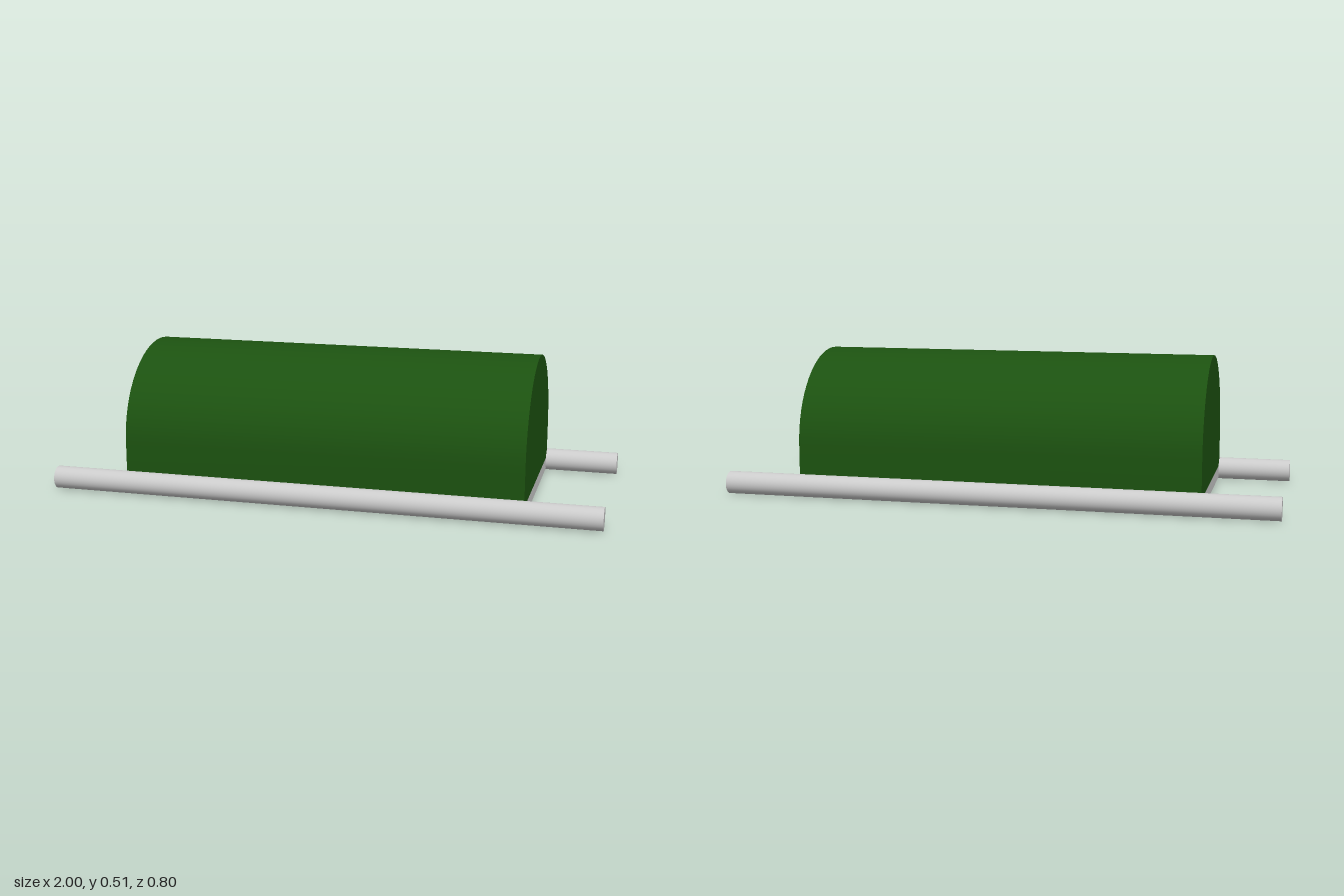
import * as THREE from 'three';
import { toCreasedNormals } from 'three/addons/utils/BufferGeometryUtils.js';

export function createModel() {
  const model = new THREE.Group();
  const grey = new THREE.MeshStandardMaterial({ color: 0xcccccc });
  const green = new THREE.MeshStandardMaterial({ color: 0x1c5210 });
  const length = 1.46;

  const add = (name, geometry, material) => {
    const mesh = new THREE.Mesh(geometry, material);
    mesh.name = name;
    model.add(mesh);
    return mesh;
  };

  // Arched cover: straight walls below a rounded roof, extruded along x
  const halfWidth = 0.347, base = 0.055, spring = 0.19, top = 0.515;
  const profile = new THREE.Shape();
  profile.moveTo(-halfWidth, base);
  profile.lineTo(halfWidth, base);
  profile.lineTo(halfWidth, spring);
  profile.absellipse(0, spring, halfWidth, top - spring, 0, Math.PI, false, 0);
  profile.closePath();
  const cover = new THREE.ExtrudeGeometry(profile, { depth: length, bevelEnabled: false, curveSegments: 16 });
  cover.translate(0, 0, -length / 2);
  cover.rotateY(Math.PI / 2);
  add('cover', toCreasedNormals(cover, Math.PI / 6), green);

  // Flat bed between the poles
  add('bed', new THREE.BoxGeometry(length, 0.045, 0.7), grey).position.y = 0.0325;

  // Carrying poles
  const radius = 0.041;
  for (const side of [1, -1]) {
    const pole = new THREE.CylinderGeometry(radius, radius, 2, 32);
    pole.rotateZ(Math.PI / 2);
    add(side > 0 ? 'frontPole' : 'backPole', pole, grey).position.set(0, radius, side * 0.359);
  }

  return model;
}
